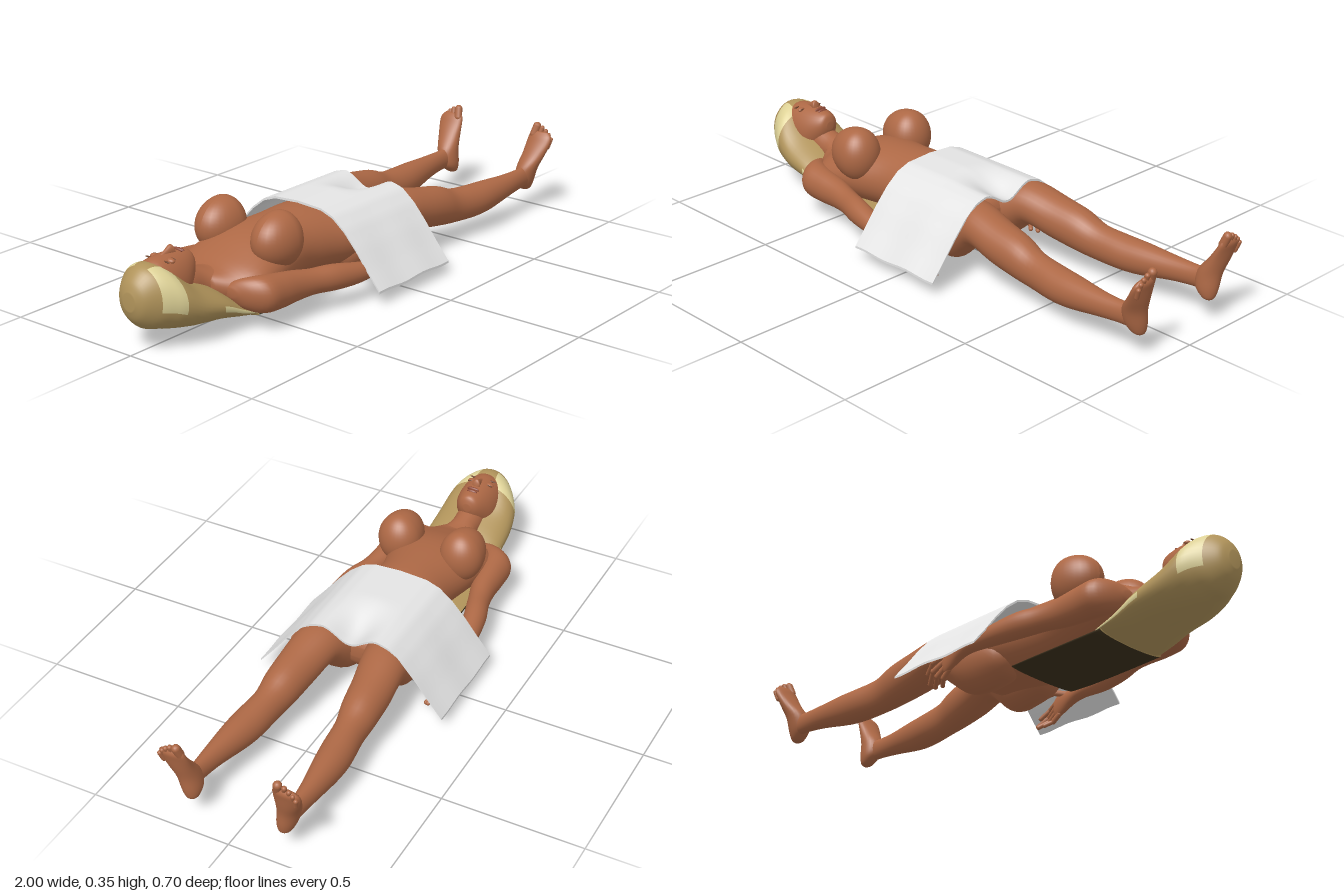
import * as THREE from 'three';

const mat = (name, color) => {
  const m = new THREE.MeshStandardMaterial({ color });
  m.name = name;
  return m;
};

// Smooth loft along x through elliptical sections [x, y, z, ry, rz]; paint(x, angle) picks a material index
function loft(sections, steps = 4, sides = 28, paint = () => 0) {
  const n = (sections.length - 1) * steps;
  const catmull = (k, i, t) => {
    const at = (j) => sections[Math.min(Math.max(j, 0), sections.length - 1)][k];
    const a = at(i - 1), b = at(i), c = at(i + 1), d = at(i + 2);
    return b + 0.5 * t * (c - a + t * (2 * a - 5 * b + 4 * c - d + t * (3 * (b - c) + d - a)));
  };
  const pos = [], lists = [[], []];
  const xs = [];
  for (let r = 0; r <= n; r++) {
    const i = Math.min(Math.floor(r / steps), sections.length - 2), t = r / steps - i;
    const [x, y, z, ry, rz] = [0, 1, 2, 3, 4].map((k) => catmull(k, i, t));
    xs.push(x);
    for (let j = 0; j < sides; j++) {
      const a = (j / sides) * Math.PI * 2;
      pos.push(x, y + ry * Math.cos(a), z + rz * Math.sin(a));
    }
  }
  for (let r = 0; r < n; r++) {
    for (let j = 0; j < sides; j++) {
      const k = (j + 1) % sides, p = r * sides, q = p + sides;
      const list = lists[paint((xs[r] + xs[r + 1]) / 2, ((j + 0.5) / sides) * Math.PI * 2)];
      list.push(p + j, q + k, q + j, p + j, p + k, q + k);
    }
  }
  // End caps
  const first = sections[0], last = sections[sections.length - 1], c0 = pos.length / 3;
  pos.push(...first.slice(0, 3), ...last.slice(0, 3));
  for (let j = 0; j < sides; j++) {
    const k = (j + 1) % sides, e = n * sides;
    lists[paint(first[0], 0)].push(c0, k, j);
    lists[paint(last[0], 0)].push(c0 + 1, e + j, e + k);
  }
  const g = new THREE.BufferGeometry();
  g.setAttribute('position', new THREE.Float32BufferAttribute(pos, 3));
  g.setIndex(lists.flat());
  let start = 0;
  lists.forEach((l, i) => {
    if (l.length) g.addGroup(start, l.length, i);
    start += l.length;
  });
  g.computeVertexNormals();
  return g;
}

export function createModel() {
  const model = new THREE.Group();
  const skin = mat('skin', 0xad6845);
  const blonde = mat('golden hair', 0xb0935a);
  const pale = mat('pale hair', 0xddd196);
  const dark = mat('dark hair', 0x3b301c);
  const cloth = mat('white cloth', 0xe4e4e4);
  const lip = mat('lips', 0x8c4936);
  const brow = mat('brows', 0x6b4129);

  const add = (name, geometry, material, parent = model) => {
    const m = new THREE.Mesh(geometry, material);
    m.name = name;
    parent.add(m);
    return m;
  };
  // Ellipsoid whose headward half can be drawn out by a factor
  const ball = (name, p, s, material, stretch = 1) => {
    const g = new THREE.SphereGeometry(1, 32, 24), v = g.attributes.position;
    for (let i = 0; i < v.count; i++) {
      if (v.getX(i) < 0) v.setX(i, v.getX(i) * stretch);
    }
    g.computeVertexNormals();
    const m = add(name, g, material);
    m.position.set(...p);
    m.scale.set(...s);
  };
  // Rounded rod between two points
  const rod = (name, a, b, r, parent) => {
    const p = new THREE.Vector3(...a), q = new THREE.Vector3(...b), d = q.clone().sub(p);
    const m = add(name, new THREE.CapsuleGeometry(r, d.length(), 5, 10), skin, parent);
    m.position.copy(p).add(q).multiplyScalar(0.5);
    m.quaternion.setFromUnitVectors(new THREE.Vector3(0, 1, 0), d.normalize());
  };

  // Torso and neck
  add('torso', loft([
    [-0.69, 0.15, 0, 0.045, 0.06], [-0.64, 0.137, 0, 0.063, 0.125], [-0.58, 0.142, 0, 0.084, 0.18],
    [-0.5, 0.155, 0, 0.105, 0.178], [-0.42, 0.165, 0, 0.113, 0.165], [-0.3, 0.17, 0, 0.115, 0.14],
    [-0.2, 0.168, 0, 0.118, 0.15], [-0.1, 0.16, 0, 0.115, 0.175], [0, 0.157, 0, 0.105, 0.185],
    [0.07, 0.15, 0, 0.09, 0.165], [0.115, 0.155, 0, 0.055, 0.12], [0.13, 0.16, 0, 0.02, 0.08],
  ], 4, 40), skin);
  add('neck', loft([
    [-0.82, 0.17, 0, 0.05, 0.05], [-0.76, 0.168, 0, 0.058, 0.052], [-0.7, 0.155, 0, 0.057, 0.054],
    [-0.65, 0.14, 0, 0.06, 0.085], [-0.6, 0.14, 0, 0.06, 0.12],
  ]), skin);

  // Head and face
  add('head', loft([
    [-0.96, 0.19, 0, 0.03, 0.03], [-0.94, 0.19, 0, 0.065, 0.055], [-0.9, 0.192, 0, 0.096, 0.073],
    [-0.85, 0.195, 0, 0.1, 0.077], [-0.8, 0.2, 0, 0.094, 0.072], [-0.76, 0.222, 0, 0.067, 0.055],
    [-0.735, 0.238, 0, 0.042, 0.036], [-0.725, 0.24, 0, 0.015, 0.015],
  ], 5, 36), skin);
  add('nose', loft([
    [-0.865, 0.282, 0, 0.008, 0.007], [-0.835, 0.291, 0, 0.013, 0.009], [-0.812, 0.297, 0, 0.02, 0.013],
    [-0.803, 0.295, 0, 0.016, 0.015], [-0.798, 0.291, 0, 0.004, 0.006],
  ]), skin);
  ball('upperLip', [-0.78, 0.291, 0], [0.006, 0.008, 0.024], lip);
  ball('lowerLip', [-0.769, 0.286, 0], [0.007, 0.009, 0.02], lip);
  for (const s of [1, -1]) {
    ball('eyelid', [-0.845, 0.28, s * 0.033], [0.012, 0.009, 0.018], skin);
    ball('lashes', [-0.836, 0.284, s * 0.033], [0.002, 0.003, 0.016], brow);
    ball('brow', [-0.868, 0.283, s * 0.034], [0.003, 0.003, 0.018], brow);
  }

  // Hair: cap that flows under the shoulders, then a flat length below the back, dark underneath
  add('hair', loft([
    [-1, 0.18, 0, 0.03, 0.025], [-0.985, 0.18, 0, 0.066, 0.055], [-0.95, 0.18, 0, 0.1, 0.085],
    [-0.91, 0.177, 0, 0.109, 0.112], [-0.87, 0.162, 0, 0.104, 0.132], [-0.8, 0.128, 0, 0.081, 0.144],
    [-0.7, 0.1, 0, 0.06, 0.148], [-0.62, 0.066, 0, 0.036, 0.148], [-0.54, 0.042, 0, 0.018, 0.148],
  ], 5, 40, (x, a) => {
    const c = Math.cos(a);
    const crown = x > -0.94 && x < -0.87 && c > -0.25 && c < 0.94;
    const strand = x > -0.72 && Math.abs(c) < 0.2;
    return crown || strand ? 1 : 0;
  }), [blonde, pale]);
  add('hairLength', loft([
    [-0.56, 0.04, 0, 0.018, 0.147], [-0.4, 0.038, 0, 0.014, 0.15], [-0.25, 0.038, 0, 0.013, 0.15],
    [-0.16, 0.04, 0, 0.01, 0.146],
  ], 4, 32, (x, a) => (Math.cos(a) > 0.15 && x < -0.22 ? 1 : 0)), [dark, blonde]);

  for (const s of [1, -1]) {
    const side = s > 0 ? 'right' : 'left';
    const mirror = (list) => list.map(([x, y, z, ry, rz]) => [x, y, s * z, ry, rz]);

    // Breast sloping up from the shoulder
    ball(side + 'Breast', [-0.427, 0.256, s * 0.122], [0.074, 0.096, 0.08], skin, 1.55);

    // Arm and hand
    add(side + 'Arm', loft(mirror([
      [-0.66, 0.135, 0.11, 0.015, 0.025], [-0.64, 0.132, 0.14, 0.045, 0.055], [-0.6, 0.128, 0.18, 0.062, 0.062],
      [-0.53, 0.122, 0.193, 0.06, 0.053], [-0.45, 0.118, 0.2, 0.052, 0.046], [-0.38, 0.115, 0.216, 0.044, 0.041],
      [-0.3, 0.112, 0.24, 0.045, 0.042], [-0.2, 0.103, 0.26, 0.036, 0.036], [-0.1, 0.098, 0.266, 0.024, 0.026],
      [-0.05, 0.093, 0.268, 0.026, 0.022], [0, 0.083, 0.268, 0.039, 0.018], [0.03, 0.072, 0.268, 0.038, 0.014],
      [0.04, 0.07, 0.266, 0.014, 0.006],
    ])), skin);
    const fingers = new THREE.Group();
    fingers.name = side + 'Fingers';
    model.add(fingers);
    [
      [[0.028, 0.1, 0.272], [0.075, 0.083, 0.284], [0.112, 0.057, 0.272]],
      [[0.03, 0.08, 0.27], [0.078, 0.053, 0.28], [0.114, 0.024, 0.26]],
      [[0.026, 0.062, 0.268], [0.067, 0.034, 0.272], [0.1, 0.013, 0.247]],
      [[0.016, 0.045, 0.266], [0.044, 0.024, 0.264], [0.068, 0.01, 0.244]],
    ].forEach((points) => {
      const [base, mid, tip] = points.map(([x, y, z]) => [x, y, s * z]);
      rod('finger', base, mid, 0.0095, fingers);
      rod('fingertip', mid, tip, 0.008, fingers);
    });
    rod('thumb', [-0.03, 0.105, s * 0.265], [0.02, 0.122, s * 0.248], 0.011, fingers);
    rod('thumbTip', [0.02, 0.122, s * 0.248], [0.052, 0.112, s * 0.236], 0.009, fingers);

    // Leg, with the buttock as its rounded upper end
    add(side + 'Leg', loft(mirror([
      [-0.13, 0.11, 0.085, 0.02, 0.03], [-0.09, 0.113, 0.09, 0.073, 0.075], [0, 0.13, 0.096, 0.11, 0.09],
      [0.08, 0.142, 0.106, 0.115, 0.095], [0.14, 0.169, 0.118, 0.095, 0.088], [0.2, 0.19, 0.128, 0.073, 0.081],
      [0.3, 0.168, 0.14, 0.074, 0.074], [0.4, 0.15, 0.147, 0.073, 0.066], [0.48, 0.131, 0.153, 0.063, 0.055],
      [0.58, 0.124, 0.163, 0.06, 0.057], [0.66, 0.125, 0.17, 0.056, 0.052], [0.78, 0.132, 0.178, 0.043, 0.036],
      [0.87, 0.137, 0.18, 0.038, 0.026], [0.92, 0.14, 0.178, 0.042, 0.027],
    ])), skin);

    // Upright foot, lofted lengthwise and turned to stand on its heel
    const foot = add(side + 'Foot', loft(mirror([
      [0.08, -0.934, 0.168, 0.01, 0.01], [0.09, -0.93, 0.169, 0.024, 0.023], [0.12, -0.92, 0.173, 0.041, 0.034],
      [0.17, -0.923, 0.182, 0.042, 0.039], [0.22, -0.947, 0.194, 0.031, 0.045], [0.26, -0.965, 0.201, 0.022, 0.049],
      [0.285, -0.975, 0.202, 0.017, 0.046], [0.3, -0.979, 0.197, 0.008, 0.034],
    ])), skin);
    foot.rotation.z = Math.PI / 2;
    const toes = new THREE.Group();
    toes.name = side + 'Toes';
    model.add(toes);
    [[0.18, 0.316, 0.015], [0.203, 0.312, 0.009], [0.219, 0.302, 0.0085], [0.232, 0.29, 0.008], [0.242, 0.275, 0.008]]
      .forEach(([z, y, r]) => rod('toe', [0.974, y - 0.03, s * (z - 0.006)], [0.985, y, s * z], r, toes));
  }

  // Towel draped over the hips, sinking between the thighs
  const drape = [[0, 0.292], [0.1, 0.286], [0.15, 0.268], [0.2, 0.228], [0.25, 0.172], [0.3, 0.108], [0.36, 0.036]];
  const towel = new THREE.BoxGeometry(0.385, 0.008, 0.7, 24, 1, 56);
  const p = towel.attributes.position;
  for (let i = 0; i < p.count; i++) {
    const x = p.getX(i), z = Math.abs(p.getZ(i));
    const k = drape.findIndex((d) => d[0] > z), [z0, y0] = drape[k - 1], [z1, y1] = drape[k];
    const valley = 0.055 * THREE.MathUtils.smoothstep(x, -0.02, 0.17) * Math.exp(-((z / 0.065) ** 2));
    const fold = 0.003 * Math.sin(x * 30) * THREE.MathUtils.smoothstep(z, 0.15, 0.3);
    p.setY(i, p.getY(i) + THREE.MathUtils.lerp(y0, y1, (z - z0) / (z1 - z0)) - valley + fold);
  }
  towel.computeVertexNormals();
  add('towel', towel, cloth);

  return model;
}
